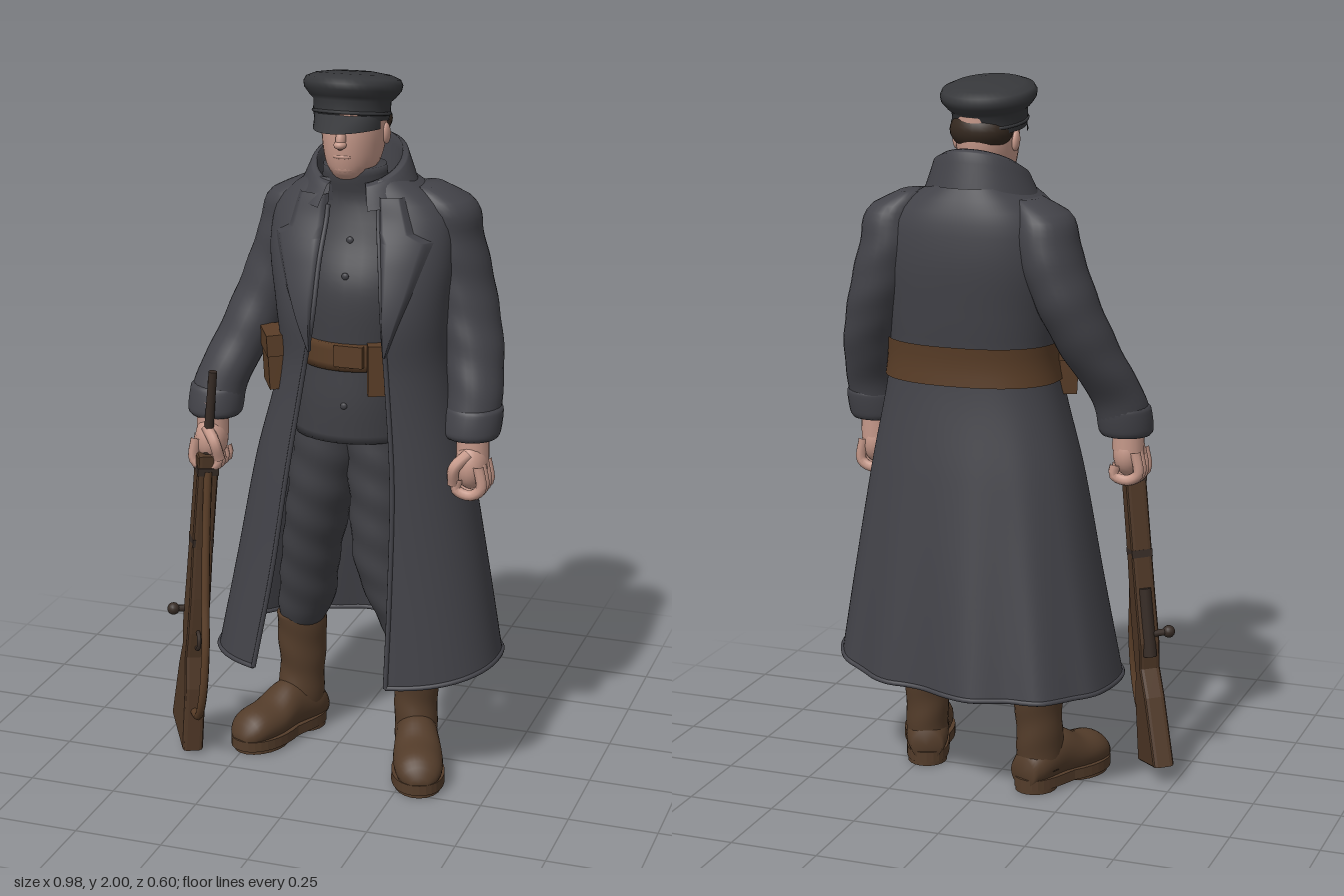
import * as THREE from 'three';
import { mergeVertices } from 'three/addons/utils/BufferGeometryUtils.js';
import { ParametricGeometry } from 'three/addons/geometries/ParametricGeometry.js';

const mat = (name, color, side = THREE.FrontSide) => {
  const m = new THREE.MeshStandardMaterial({ color, side });
  m.name = name;
  return m;
};

// Smooth interpolation of table rows keyed by their first column
function sample(rows, y) {
  const n = rows.length;
  let i = 0;
  while (i < n - 2 && y > rows[i + 1][0]) i++;
  const h = rows[i + 1][0] - rows[i][0];
  const t = THREE.MathUtils.clamp((y - rows[i][0]) / h, 0, 1);
  const slope = (k, c) => {
    const a = rows[Math.max(k - 1, 0)], b = rows[Math.min(k + 1, n - 1)];
    return (b[c] - a[c]) / (b[0] - a[0]);
  };
  return rows[i].map((p, c) => {
    const q = rows[i + 1][c], t2 = t * t, t3 = t2 * t;
    return p * (2 * t3 - 3 * t2 + 1) + q * (3 * t2 - 2 * t3) + h * (slope(i, c) * (t3 - 2 * t2 + t) + slope(i + 1, c) * (t3 - t2));
  });
}

function surface(fn, nu, nv) {
  const g = new ParametricGeometry(fn, nu, nv);
  g.deleteAttribute('normal');
  g.deleteAttribute('uv');
  const m = mergeVertices(g, 1e-5);
  m.computeVertexNormals();
  return m;
}

// Closed body from elliptical rings: [y, centreX, centreZ, radiusX, radiusZ]
function loft(rows, nv = 24, fold = 0) {
  const y0 = rows[0][0], y1 = rows[rows.length - 1][0];
  return surface((u, v, out) => {
    const k = v * (nv + 2), t = u * Math.PI * 2;
    const y = y0 + (y1 - y0) * THREE.MathUtils.clamp((k - 1) / nv, 0, 1);
    const [, cx, cz, rx, rz] = sample(rows, y);
    const r = k < 0.5 || k > nv + 1.5 ? 0 : 1 + fold * Math.sin(y * 55 + 2 * Math.sin(t));
    out.set(cx + rx * r * Math.sin(t), y, cz + rz * r * Math.cos(t));
  }, 28, nv + 2);
}

// Greatcoat rings: y, centreX, radiusX, frontZ, backZ, left edge x, right edge x
const COAT = [
  [0.31, 0.068, 0.413, 0.26, -0.28, 0.22, -0.18], [0.6, 0.075, 0.36, 0.245, -0.235, 0.225, -0.125],
  [0.9, 0.08, 0.305, 0.235, -0.19, 0.225, -0.08], [1.2, 0.09, 0.24, 0.228, -0.15, 0.205, -0.03],
  [1.35, 0.085, 0.245, 0.232, -0.165, 0.195, 0], [1.5, 0.078, 0.26, 0.185, -0.18, 0.175, 0.005],
  [1.61, 0.075, 0.245, 0.135, -0.175, 0.155, 0.01], [1.66, 0.07, 0.205, 0.12, -0.163, 0.15, 0.01],
  [1.71, 0.062, 0.13, 0.105, -0.145, 0.14, 0.01]];
const P = 0.85, CZ = 0.02;
const spow = (a) => Math.sign(a) * Math.abs(a) ** P;
const edgeAngle = (x, cx, rx) => {
  const u = THREE.MathUtils.clamp((x - cx) / rx, -0.99, 0.99);
  return Math.asin(Math.sign(u) * Math.abs(u) ** (1 / P));
};
function coatAt(t, y, grow, out) {
  const [, cx, rx, zf, zb] = sample(COAT, y);
  const low = THREE.MathUtils.clamp((1.1 - y) / 0.8, 0, 1) ** 1.3;
  const c = Math.cos(t), s = Math.sin(t);
  // hanging folds across the back, fuller on the right
  const wave = c > 0 ? 1 : 1 + low * (0.05 * Math.cos(11 * (t - Math.PI - 0.1)) * (s > 0 ? 1 - 0.5 * s : 1) - 0.03 - 0.09 * Math.tanh(4 * s));
  out.set(cx + (rx + grow) * spow(s),
    y + low * 0.04 * Math.max(0, s) ** 3,
    CZ + (c > 0 ? zf - CZ + grow : CZ - zb + grow) * spow(c) * wave);
}
function coatZ(x, y) {
  const [, cx, rx, zf] = sample(COAT, y);
  return CZ + (zf - CZ) * Math.cos(edgeAngle(x, cx, rx)) ** P;
}

export function createModel() {
  const root = new THREE.Group();
  root.name = 'soldierInGreatcoat';
  const M = {
    coat: mat('coat wool', 0x434349, THREE.DoubleSide), tunic: mat('tunic cloth', 0x404045),
    cap: mat('cap cloth', 0x36373a, THREE.DoubleSide), skin: mat('skin', 0xc6998a), hair: mat('hair', 0x34281f),
    boot: mat('boot leather', 0x533c2a), belt: mat('belt leather', 0x593d27, THREE.DoubleSide),
    wood: mat('rifle wood', 0x4f3827), metal: mat('gun metal', 0x372c26)
  };
  const add = (name, geo, m, pos = [0, 0, 0], rot = [0, 0, 0], scale = [1, 1, 1], parent = root) => {
    const mesh = new THREE.Mesh(geo, m);
    mesh.name = name;
    mesh.position.set(...pos);
    mesh.rotation.set(...rot);
    mesh.scale.set(...scale);
    parent.add(mesh);
    return mesh;
  };
  const ball = new THREE.SphereGeometry(1, 24, 16);
  const tube = (pts, r, n = 16) => new THREE.TubeGeometry(new THREE.CatmullRomCurve3(pts.map((p) => new THREE.Vector3(...p))), n, r, 8);

  // Greatcoat, open at the front
  add('greatcoat', surface((u, v, out) => {
    const y = 0.31 + 1.4 * v, [, cx, rx, , , xl, xr] = sample(COAT, y);
    const a = edgeAngle(xl, cx, rx), b = Math.PI * 2 + edgeAngle(xr, cx, rx);
    coatAt(a + (b - a) * u, y, 0, out);
  }, 96, 44), M.coat);

  // Rolled rims along the hem and the two front edges
  const rim = (name, fn) => add(name, tube(Array.from({ length: 41 }, (_, i) => {
    const p = new THREE.Vector3();
    fn(i / 40, p);
    return p.toArray();
  }), 0.007, 90), M.coat);
  rim('hemRim', (k, p) => {
    const a = edgeAngle(0.22, 0.068, 0.413), b = Math.PI * 2 + edgeAngle(-0.18, 0.068, 0.413);
    coatAt(a + (b - a) * k, 0.312, 0, p);
  });
  [5, 6].forEach((c) => rim(c === 5 ? 'leftFrontRim' : 'rightFrontRim', (k, p) => {
    const y = 0.312 + 1.33 * k, r = sample(COAT, y);
    coatAt(edgeAngle(r[c], r[1], r[2]), y, 0, p);
  }));

  // Lapels lying on the chest: y, inner x, outer x
  const lapel = (name, rows) => add(name, surface((u, v, out) => {
    const i = Math.min(Math.floor(v * (rows.length - 1)), rows.length - 2), k = v * (rows.length - 1) - i;
    const [y, xi, xo] = rows[i].map((a, c) => a + (rows[i + 1][c] - a) * k);
    const x = xi + (xo - xi) * u;
    out.set(x, y, coatZ(x, y) + 0.016 * Math.min(1, 8 * u, 8 * (1 - u)));
  }, 16, 40), M.coat);
  lapel('leftLapel', [[1.26, 0.2, 0.205], [1.42, 0.185, 0.26], [1.555, 0.165, 0.3], [1.58, 0.16, 0.25], [1.67, 0.15, 0.215]]);
  lapel('rightLapel', [[1.26, -0.005, -0.01], [1.42, 0.003, -0.09], [1.555, 0.008, -0.145], [1.58, 0.01, -0.1], [1.67, 0.01, -0.08]]);

  // Turned-up collar: outer face, top fold, inner face
  add('coatCollar', surface((u, v, out) => {
    const t = 0.42 + u * (Math.PI * 2 - 0.84), c = Math.cos(t), k = v * 3;
    const top = 1.755 - 0.058 * c, low = 1.665 - 0.03 * c;
    const ring = [[0.17 + 0.012 * Math.min(0, c), low], [0.134, top - 0.008], [0.116, top], [0.11, low]];
    const i = Math.min(Math.floor(k), 2), f = k - i;
    const r = ring[i][0] + (ring[i + 1][0] - ring[i][0]) * f;
    out.set(0.06 + r * Math.sin(t), ring[i][1] + (ring[i + 1][1] - ring[i][1]) * f, 0.005 + (r - 0.01) * c);
  }, 48, 12), M.coat);

  // Sleeves and cuffs
  const sleeves = {
    leftSleeve: [[1.02, 0.4, 0.056, 0.076, 0.076], [1.12, 0.402, 0.035, 0.076, 0.08], [1.25, 0.382, -0.015, 0.082, 0.094],
      [1.4, 0.34, -0.05, 0.088, 0.106], [1.55, 0.303, -0.05, 0.088, 0.108], [1.64, 0.292, -0.04, 0.077, 0.095], [1.685, 0.245, -0.03, 0.04, 0.06]],
    rightSleeve: [[1.02, -0.335, 0.092, 0.073, 0.073], [1.12, -0.318, 0.068, 0.078, 0.078], [1.25, -0.262, 0.005, 0.085, 0.094],
      [1.4, -0.205, -0.045, 0.088, 0.105], [1.55, -0.152, -0.05, 0.088, 0.108], [1.635, -0.135, -0.04, 0.077, 0.095], [1.68, -0.085, -0.03, 0.04, 0.06]]
  };
  for (const [name, rows] of Object.entries(sleeves)) {
    add(name, loft(rows, 36, 0.014), M.coat);
    const [y, x, z, rx, rz] = rows[0];
    add(name + 'Cuff', loft([[y - 0.008, x, z, rx - 0.004, rz - 0.004], [y + 0.004, x, z, rx + 0.004, rz + 0.004], [y + 0.07, x + 0.004, z - 0.012, rx + 0.004, rz + 0.004], [y + 0.08, x + 0.004, z - 0.014, rx - 0.004, rz - 0.004]], 12), M.coat);
  }

  // Tunic, buttons and trousers
  add('tunic', loft([[0.99, 0.06, 0.03, 0.175, 0.15], [1.1, 0.065, 0.03, 0.172, 0.155], [1.23, 0.07, 0.03, 0.165, 0.15],
    [1.42, 0.075, 0.02, 0.19, 0.16], [1.56, 0.07, 0, 0.18, 0.13], [1.66, 0.06, 0.01, 0.1, 0.095], [1.7, 0.055, 0.025, 0.09, 0.09], [1.74, 0.055, 0.03, 0.086, 0.088]], 36), M.tunic);
  [[1.36, 0.177], [1.46, 0.171], [1.55, 0.131], [1.1, 0.182]].forEach(([y, z]) => add('tunicButton', ball, M.tunic, [0.075, y, z], [0, 0, 0], [0.01, 0.01, 0.007]));
  add('leftTrouserLeg', loft([[0.34, 0.242, 0.02, 0.06, 0.064], [0.41, 0.225, 0.03, 0.08, 0.085], [0.6, 0.155, 0.05, 0.085, 0.092], [0.8, 0.145, 0.04, 0.095, 0.11], [1.04, 0.135, 0.03, 0.1, 0.12]], 36, 0.025), M.tunic);
  add('rightTrouserLeg', loft([[0.34, -0.145, -0.08, 0.06, 0.064], [0.41, -0.125, -0.07, 0.08, 0.085], [0.6, -0.088, -0.015, 0.085, 0.092], [0.8, -0.045, 0.02, 0.095, 0.11], [1.04, 0, 0.03, 0.11, 0.12]], 36, 0.025), M.tunic);

  // Boots: shaft, foot, sole and heel
  const soleShape = new THREE.Shape();
  soleShape.moveTo(0, 0.08);
  soleShape.bezierCurveTo(0.075, 0.08, 0.06, -0.02, 0.062, -0.08);
  soleShape.bezierCurveTo(0.095, -0.18, 0.065, -0.268, 0, -0.268);
  soleShape.bezierCurveTo(-0.065, -0.268, -0.095, -0.18, -0.062, -0.08);
  soleShape.bezierCurveTo(-0.06, -0.02, -0.075, 0.08, 0, 0.08);
  const soleGeo = new THREE.ExtrudeGeometry(soleShape, { depth: 0.03, bevelEnabled: false, curveSegments: 10 }).rotateX(-Math.PI / 2);
  const shaftGeo = loft([[0.06, 0, 0, 0.058, 0.07], [0.13, 0, 0, 0.062, 0.072], [0.2, 0, -0.005, 0.062, 0.07], [0.3, 0, -0.005, 0.067, 0.077], [0.37, 0, 0, 0.066, 0.076]], 36, 0.022);
  const footGeo = loft([[-0.072, 0, -0.06, 0.045, 0.045], [-0.03, 0, -0.075, 0.06, 0.062], [0.06, 0, -0.09, 0.062, 0.075], [0.14, 0, -0.07, 0.07, 0.058], [0.21, 0, -0.064, 0.066, 0.052], [0.245, 0, -0.055, 0.05, 0.038], [0.262, 0, -0.045, 0.025, 0.018]], 24).rotateX(Math.PI / 2);
  [['leftBoot', 0.24, 0.02, 0.34], ['rightBoot', -0.145, -0.08, -0.42]].forEach(([name, x, z, turn]) => {
    const boot = new THREE.Group();
    boot.name = name;
    boot.position.set(x, 0, z);
    boot.rotation.y = turn;
    root.add(boot);
    add('shaft', shaftGeo, M.boot, [0, 0, 0], [0, 0, 0], [1, 1, 1], boot);
    add('foot', footGeo, M.boot, [0, 0, 0], [0, 0, 0], [1, 1, 1], boot);
    add('sole', soleGeo, M.boot, [0, 0.012, 0], [0, 0, 0], [1, 1, 1], boot);
    add('heel', new THREE.CylinderGeometry(0.057, 0.057, 0.014, 20), M.boot, [0, 0.007, -0.016], [0, 0, 0], [1, 1, 1.1], boot);
    add('foreSole', new THREE.CylinderGeometry(0.068, 0.068, 0.014, 20), M.boot, [0, 0.007, 0.168], [0, 0, 0], [1, 1, 1.35], boot);
  });

  // Belts, buckle and pouches
  add('frontBelt', loft([[1.2, 0.07, 0.03, 0.17, 0.162], [1.275, 0.07, 0.03, 0.172, 0.162]], 4), M.belt);
  add('beltBuckle', new THREE.BoxGeometry(0.08, 0.06, 0.02), M.belt, [0.093, 1.245, 0.192]);
  add('holster', new THREE.BoxGeometry(0.05, 0.14, 0.04), M.belt, [0.166, 1.21, 0.175], [0, 0.4, 0]);
  add('backBelt', surface((u, v, out) => coatAt(Math.PI * (0.55 + 1.0 * u), 1.165 + 0.11 * v, 0.007, out), 40, 4), M.belt);
  add('sidePouch', new THREE.BoxGeometry(0.055, 0.14, 0.115), M.belt, [-0.15, 1.19, 0.105], [0, 0.5, 0.05]);
  add('sidePouchFlap', new THREE.BoxGeometry(0.065, 0.06, 0.125), M.belt, [-0.15, 1.245, 0.105], [0, 0.5, 0.05]);

  // Head
  add('head', loft([[1.68, 0.055, 0.015, 0.06, 0.065], [1.725, 0.055, 0.05, 0.056, 0.08], [1.75, 0.055, 0.045, 0.07, 0.096], [1.79, 0.055, 0.038, 0.08, 0.11],
    [1.84, 0.055, 0.035, 0.085, 0.114], [1.9, 0.055, 0.03, 0.085, 0.11]], 30), M.skin);
  add('chin', ball, M.skin, [0.055, 1.745, 0.113], [0, 0, 0], [0.036, 0.022, 0.026]);
  add('nose', ball, M.skin, [0.055, 1.828, 0.147], [-0.3, 0, 0], [0.014, 0.032, 0.018]);
  add('noseTip', ball, M.skin, [0.055, 1.812, 0.155], [0, 0, 0], [0.017, 0.012, 0.018]);
  add('lips', ball, M.skin, [0.055, 1.778, 0.138], [0, 0, 0], [0.026, 0.008, 0.01]);
  for (const s of [-1, 1]) {
    add('ear', ball, M.skin, [0.055 + s * 0.086, 1.825, 0.025], [0.2, 0, 0], [0.011, 0.03, 0.019]);
    add('brow', ball, M.hair, [0.055 + s * 0.036, 1.858, 0.134], [0, s * 0.35, 0], [0.022, 0.006, 0.008]);
  }
  add('hair', ball, M.hair, [0.055, 1.855, -0.012], [0, 0, 0], [0.089, 0.06, 0.074]);

  // Peaked cap
  const cap = new THREE.Group();
  cap.name = 'cap';
  cap.position.set(0.047, 1.875, 0.035);
  cap.rotation.x = -0.16;
  root.add(cap);
  const profile = [[0.1, -0.014], [0.103, 0.005], [0.104, 0.035], [0.115, 0.045], [0.13, 0.064], [0.133, 0.08], [0.126, 0.094], [0.1, 0.105], [0.05, 0.112], [0, 0.113]];
  add('capCrown', new THREE.LatheGeometry(profile.map((p) => new THREE.Vector2(...p)), 40), M.cap, [0, 0, 0], [0, 0, 0], [1, 1, 1.05], cap);
  add('capStrap', new THREE.TorusGeometry(0.102, 0.005, 8, 40), M.cap, [0, 0.004, 0], [Math.PI / 2, 0, 0], [1, 1.05, 1], cap);
  add('visor', surface((u, v, out) => {
    const a = (u - 0.5) * 2.3, f = Math.cos(a * 1.36);
    out.set(0.102 * Math.sin(a), 1.892 - 0.04 * v - 0.012 * (1 - Math.cos(a)), 0.03 + 0.105 * Math.cos(a) + 0.078 * v * f);
  }, 24, 6), M.cap, [0.047, 0, 0]);

  // Hands: palm, curled fingers and thumb
  const hand = (name, x, y, z, s) => {
    const g = new THREE.Group();
    g.name = name;
    g.position.set(x, y, z);
    root.add(g);
    add('wrist', new THREE.CylinderGeometry(0.045, 0.045, 0.1, 16), M.skin, [0, 0.06, -0.01], [0, 0, 0], [1, 1, 1], g);
    add('palm', ball, M.skin, [0, 0, 0], [0, 0, 0], [0.045, 0.068, 0.057], g);
    for (let i = 0; i < 4; i++) {
      const fz = 0.042 - i * 0.027, len = 0.006 * Math.abs(i - 1.3);
      add('finger', tube([[s * 0.03, 0.01, fz], [s * 0.038, -0.055, fz], [s * 0.008, -0.084 + len, fz], [-s * 0.032, -0.062, fz], [-s * 0.028, -0.03, fz]], 0.0155), M.skin, [0, 0, 0], [0, 0, 0], [1, 1, 1], g);
    }
    add('thumb', tube([[0, 0.04, 0.035], [-s * 0.032, 0.005, 0.06], [-s * 0.04, -0.045, 0.045]], 0.0165), M.skin, [0, 0, 0], [0, 0, 0], [1, 1, 1], g);
  };
  hand('leftHand', 0.408, 0.935, 0.075, 1);
  hand('rightHand', -0.333, 0.95, 0.13, -1);

  // Rifle resting on its butt, with sling
  const lean = new THREE.Group(), rifle = new THREE.Group();
  lean.name = 'rifle';
  rifle.name = 'rifleBody';
  lean.position.set(-0.425, 0.035, 0.13);
  lean.rotation.set(0.045, 0, -0.106);
  rifle.rotation.y = -1.0;
  lean.add(rifle);
  root.add(lean);
  const part = (name, geo, m, pos, rot = [0, 0, 0]) => add(name, geo, m, pos, rot, [1, 1, 1], rifle);
  const stock = new THREE.Shape([[-0.085, 0.012], [0.085, -0.012], [0.062, 0.17], [0.034, 0.26], [0.04, 0.34], [0.04, 0.45], [0.026, 0.6], [0.022, 0.88],
    [-0.02, 0.88], [-0.024, 0.5], [-0.03, 0.36], [-0.012, 0.28], [-0.042, 0.2]].map((p) => new THREE.Vector2(...p)));
  part('stock', new THREE.ExtrudeGeometry(stock, { depth: 0.036, bevelThickness: 0.012, bevelSize: 0.006, bevelSegments: 2 }), M.wood, [0, 0, -0.018]);
  part('barrel', new THREE.CylinderGeometry(0.012, 0.015, 0.34, 14), M.metal, [-0.003, 0.96, 0]);
  part('frontSight', new THREE.BoxGeometry(0.035, 0.03, 0.014), M.metal, [-0.012, 1.09, 0]);
  part('receiver', new THREE.CylinderGeometry(0.018, 0.02, 0.2, 14), M.metal, [-0.026, 0.42, 0]);
  part('boltHandle', new THREE.CylinderGeometry(0.01, 0.01, 0.05, 10), M.metal, [-0.03, 0.385, 0.035], [Math.PI / 2, 0, 0]);
  part('boltKnob', new THREE.SphereGeometry(0.018, 14, 10), M.metal, [-0.03, 0.385, 0.06]);
  part('triggerGuard', new THREE.TorusGeometry(0.026, 0.006, 8, 20), M.metal, [0.045, 0.32, 0]);
  [0.62, 0.84].forEach((y) => part('barrelBand', new THREE.BoxGeometry(0.06, 0.022, 0.06), M.metal, [0.001, y, 0]));
  part('sling', tube([[0.065, 0.1, 0], [0.13, 0.12, 0], [0.166, 0.2, 0], [0.16, 0.34, 0], [0.11, 0.48, 0], [0.055, 0.68, 0], [0.025, 0.84, 0]], 0.012, 40), M.belt, [0, 0, 0]);
  return root;
}
